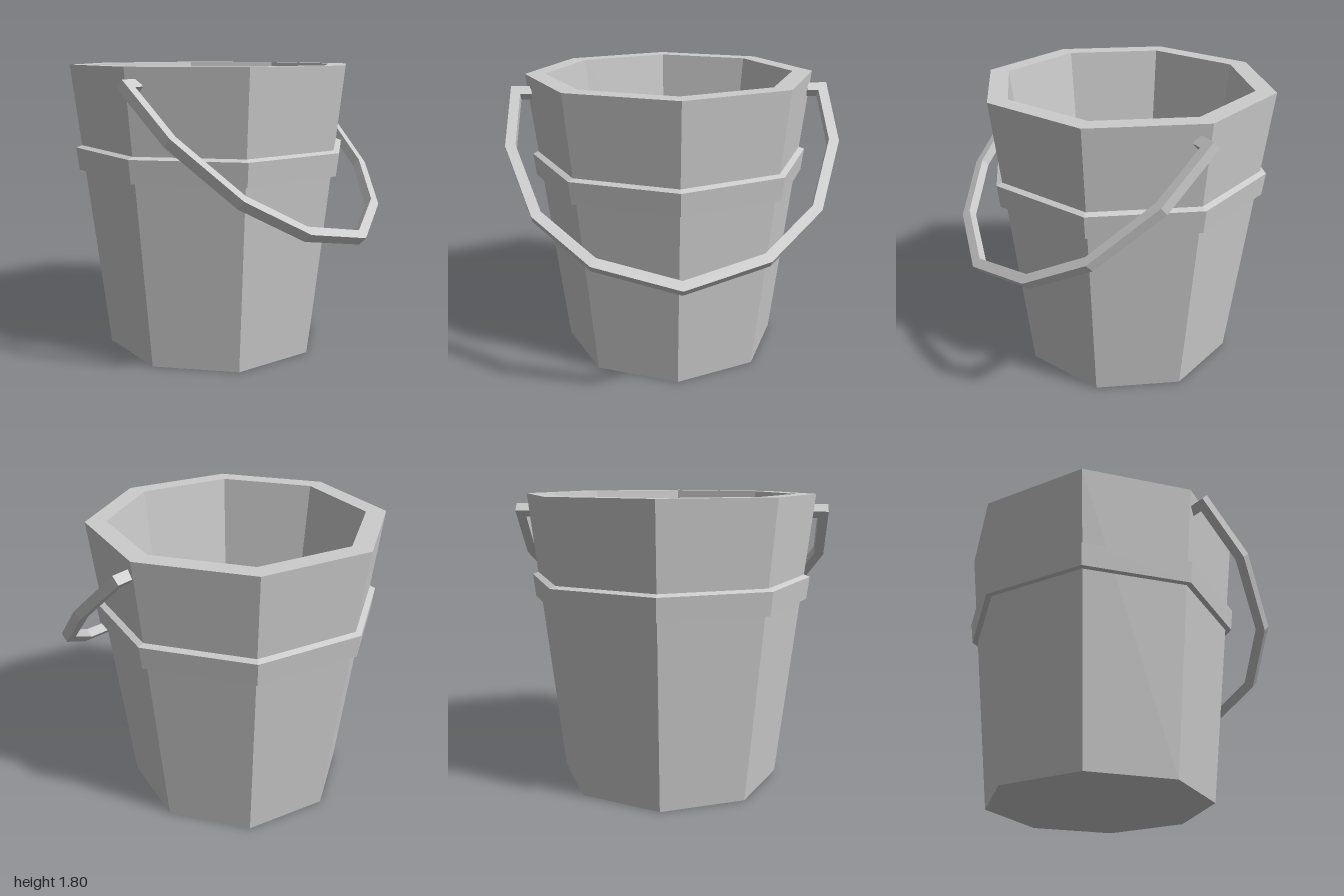
import * as THREE from 'three';

const material = new THREE.MeshStandardMaterial({ color: 0xcccccc, flatShading: true });

// Eight-sided ring or vessel turned from a radius/height profile
function octagon(name, profile) {
  const points = profile.map(([r, y]) => new THREE.Vector2(r, y));
  const mesh = new THREE.Mesh(new THREE.LatheGeometry(points, 8), material);
  mesh.name = name;
  mesh.position.x = -0.085;
  return mesh;
}

// Offsets an open path sideways by d with mitred corners
function offsetPath(path, d) {
  const normal = (a, b) => new THREE.Vector2(a.y - b.y, b.x - a.x).normalize();
  return path.map((p, i) => {
    const n1 = normal(path[Math.max(i - 1, 0)], path[Math.max(i, 1)]);
    const last = path.length - 1;
    const n2 = normal(path[Math.min(i, last - 1)], path[Math.min(i + 1, last)]);
    const mitre = n1.clone().add(n2);
    return mitre.multiplyScalar(d / (1 + n1.dot(n2))).add(p);
  });
}

// Square-section bail handle, drawn flat and then tilted about its pivots
function makeHandle() {
  const t = 0.06;
  const half = [[0.855, 0], [0.953, 0], [0.967, -0.4], [0.803, -0.86], [0.485, -1.165]];
  const path = [
    ...half.map(([x, y]) => new THREE.Vector2(-x, y)),
    new THREE.Vector2(0, -1.32),
    ...half.reverse().map(([x, y]) => new THREE.Vector2(x, y)),
  ];
  const outline = [...offsetPath(path, t / 2), ...offsetPath(path, -t / 2).reverse()];
  const geometry = new THREE.ExtrudeGeometry(new THREE.Shape(outline), { depth: t, bevelEnabled: false });
  geometry.translate(0, 0, -t / 2);

  const up = new THREE.Vector3(-0.735, 0.68, 0).normalize();
  const across = new THREE.Vector3(0, 0, -1);
  geometry.applyMatrix4(new THREE.Matrix4().makeBasis(across, up, across.clone().cross(up)));

  const mesh = new THREE.Mesh(geometry, material);
  mesh.name = 'handle';
  mesh.position.set(-0.03, 1.693, 0);
  return mesh;
}

export function createModel() {
  const group = new THREE.Group();
  group.name = 'bucket';

  // Thick-walled body: base, outer wall, rim, inner wall, inner floor
  group.add(octagon('body', [[0, 0], [0.695, 0], [0.9, 1.8], [0.775, 1.8], [0.66, 0.8], [0, 0.8]]));

  // Raised hoop around the wall
  group.add(octagon('hoop', [[0.82, 1.15], [0.863, 1.15], [0.88, 1.29], [0.84, 1.305]]));

  group.add(makeHandle());
  return group;
}
